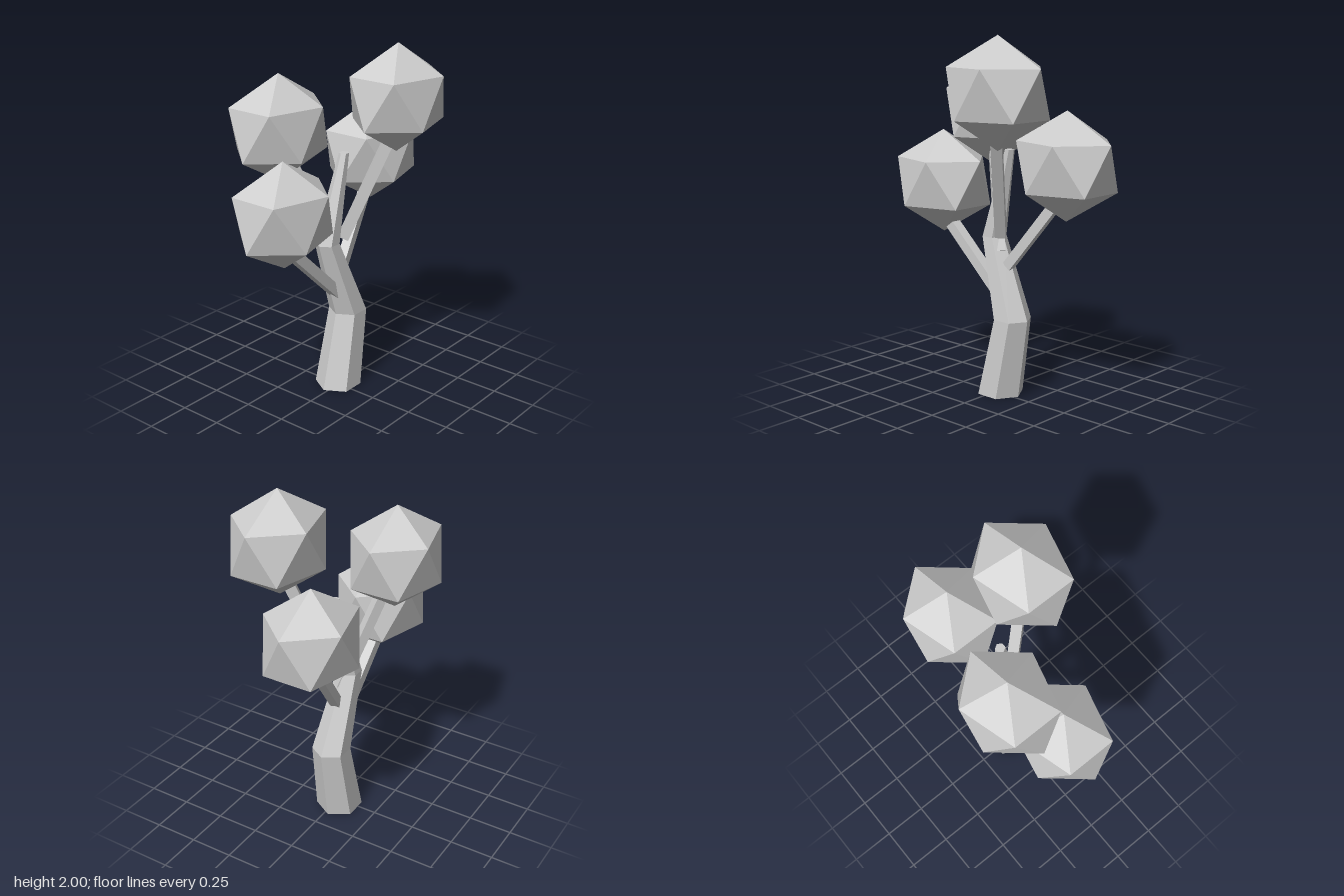
import * as THREE from 'three';

export function createModel() {
  const tree = new THREE.Group();
  tree.name = 'tree';
  const grey = new THREE.MeshStandardMaterial({ color: 0xcccccc, flatShading: true });
  grey.name = 'light grey';

  const add = (name, geometry) => {
    const mesh = new THREE.Mesh(geometry, grey);
    mesh.name = name;
    tree.add(mesh);
    return mesh;
  };

  // Crooked six-sided trunk: each ring is [x, y, z, radius], bottom to top
  const rings = [
    [0.022, 0, -0.022, 0.132],
    [0.11, 0.445, -0.022, 0.108],
    [-0.045, 0.89, -0.045, 0.07],
    [0.082, 1.385, -0.028, 0.028],
  ];
  const trunk = new THREE.CylinderGeometry(1, 1, 3, 6, 3).rotateY(Math.PI / 2);
  const p = trunk.attributes.position;
  for (let i = 0; i < p.count; i++) {
    const [x, y, z, r] = rings[Math.round(p.getY(i) + 1.5)];
    p.setXYZ(i, x + p.getX(i) * r, y, z + p.getZ(i) * r);
  }
  trunk.computeVertexNormals();
  add('trunk', trunk);

  // Square branches running from the trunk into the leaf clumps
  const branch = (name, from, to, width) => {
    const a = new THREE.Vector3(...from);
    const b = new THREE.Vector3(...to);
    const mesh = add(name, new THREE.BoxGeometry(width, width, a.distanceTo(b)));
    mesh.position.copy(a).lerp(b, 0.5);
    mesh.lookAt(b);
  };
  branch('lowerRightBranch', [0.03, 0.56, -0.025], [-0.42, 0.99, -0.025], 0.06);
  branch('lowerLeftBranch', [0.07, 0.735, -0.03], [0.42, 1.19, -0.1], 0.055);
  branch('upperRightBranch', [0.018, 0.81, -0.02], [-0.21, 1.47, -0.21], 0.055);
  branch('upperLeftBranch', [0.042, 0.91, 0], [0.2, 1.53, 0.215], 0.06);

  // Leaf clumps: icosahedra standing on a corner, slightly stretched sideways
  const leaf = new THREE.IcosahedronGeometry(1, 0)
    .rotateZ(-Math.atan(2 / (1 + Math.sqrt(5))))
    .scale(0.319, 0.295, 0.27);
  leaf.computeVertexNormals();
  const clumps = {
    topLeaves: [0.22, 1.705, 0.222],
    backLeaves: [-0.222, 1.557, -0.225],
    rightLeaves: [-0.421, 1.165, -0.026],
    leftLeaves: [0.418, 1.315, -0.1],
  };
  for (const [name, at] of Object.entries(clumps)) add(name, leaf).position.set(...at);

  return tree;
}
